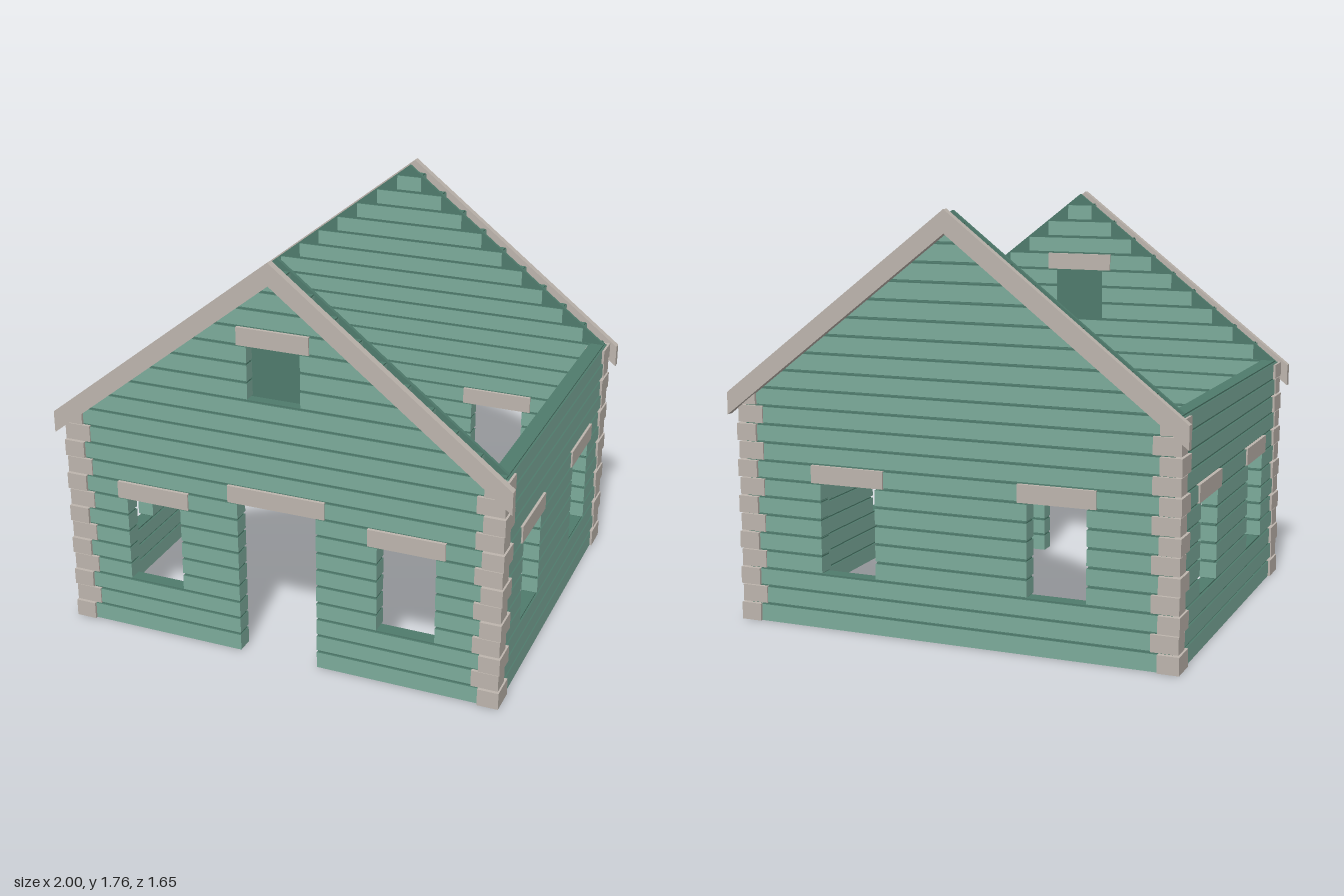
import * as THREE from 'three';

const ROW = 0.0777;          // height of one log course
const GAP = 0.012;           // groove between courses
const SLOPE = 0.78;

const mat = (name, color) => {
  const m = new THREE.MeshStandardMaterial({ color });
  m.name = name;
  return m;
};

export function createModel() {
  const green = mat('log green', 0x7cab9b);
  const dark = mat('groove green', 0x4f7b6c);
  const stone = mat('trim grey', 0xbdb5ad);
  const logMats = [green, green, dark, dark, green, green]; // tops and bottoms dark

  const model = new THREE.Group();
  model.name = 'logHouse';

  // Box given by its extents
  function box(parent, name, material, x0, x1, y0, y1, z0, z1) {
    const mesh = new THREE.Mesh(new THREE.BoxGeometry(x1 - x0, y1 - y0, z1 - z0), material);
    mesh.position.set((x0 + x1) / 2, (y0 + y1) / 2, (z0 + z1) / 2);
    mesh.name = name;
    parent.add(mesh);
  }

  // Log courses with openings {x0, x1, from, to} (rows), topped by lintels
  function wall({ name, rows, halfWidth, z0, z1, openings, turn }) {
    const g = new THREE.Group();
    g.name = name;
    for (let r = 0; r < rows; r++) {
      const y0 = r * ROW, y1 = y0 + ROW, w = halfWidth(y1);
      let left = -w;
      const spans = [];
      openings.filter(o => r >= o.from && r < o.to).sort((a, b) => a.x0 - b.x0).forEach(o => {
        spans.push([left, o.x0]);
        left = o.x1;
      });
      spans.push([left, w]);
      const bottom = r === 0 ? 0 : y0 + GAP / 2;
      for (const [a, b] of spans) {
        box(g, 'log', logMats, a, b, bottom, y1 - GAP / 2, z0, z1);
        box(g, 'groove', dark, a + 0.004, b - 0.004, y0 + 0.002, y1, z0 + 0.008, z1 - 0.008);
      }
    }
    for (const o of openings) {
      box(g, 'lintel', stone, o.x0 - 0.04, o.x1 + 0.04,
        o.to * ROW + 0.001, (o.to + 1) * ROW - 0.002, z0 - 0.007, z1 + 0.007);
    }
    g.rotation.y = turn;
    model.add(g);
    return g;
  }

  const windowPair = (a, b) => [
    { x0: -b, x1: -a, from: 3, to: 8 },
    { x0: a, x1: b, from: 3, to: 8 },
  ];
  const door = { x0: -0.175, x1: 0.175, from: 0, to: 9 };
  const vent = { x0: -0.115, x1: 0.115, from: 15, to: 18 };

  // Gable walls, stepped under the roof line
  const gableWidth = y => Math.min(0.94, (1.755 - y) / SLOPE);
  const gable = { rows: 22, halfWidth: gableWidth, z0: 0.715, z1: 0.79 };
  const front = wall({ ...gable, name: 'frontWall', turn: 0, openings: [...windowPair(0.44, 0.69), door, vent] });
  const back = wall({ ...gable, name: 'backWall', turn: Math.PI, openings: windowPair(0.335, 0.585) });

  // Side walls
  const side = { rows: 13, halfWidth: () => 0.76, z0: 0.885, z1: 0.96, openings: windowPair(0.25, 0.5) };
  wall({ ...side, name: 'leftWall', turn: Math.PI / 2 });
  wall({ ...side, name: 'rightWall', turn: -Math.PI / 2 });

  function plate(parent, name, material, points, z, depth) {
    const shape = new THREE.Shape(points.map(([x, y]) => new THREE.Vector2(x, y)));
    const mesh = new THREE.Mesh(new THREE.ExtrudeGeometry(shape, { depth, bevelEnabled: false }), material);
    mesh.position.z = z;
    mesh.name = name;
    parent.add(mesh);
  }

  for (const g of [front, back]) {
    // Solid gable panel, showing through the vent
    plate(g, 'gablePanel', dark, [[-0.955, 1.012], [0.955, 1.012], [0, 1.757]], 0.722, 0.016);
    // Sloping roof-edge boards
    plate(g, 'rightBargeBoard', stone, [[0, 1.67], [1, 0.89], [1, 0.985], [0, 1.765]], 0.79, 0.033);
    plate(g, 'leftBargeBoard', stone, [[0, 1.765], [-1, 0.985], [-1, 0.89], [0, 1.67]], 0.79, 0.033);
  }

  // Alternating corner blocks
  for (const sx of [-1, 1]) for (const sz of [-1, 1]) {
    const corner = new THREE.Group();
    corner.name = 'cornerBlocks';
    for (let r = 0; r < 13; r++) {
      const [x0, x1, z0, z1] = r % 2 ? [0.85, 0.965, 0.713, 0.796] : [0.88, 0.97, 0.68, 0.802];
      box(corner, 'cornerBlock', stone,
        Math.min(sx * x0, sx * x1), Math.max(sx * x0, sx * x1),
        r * ROW + (r ? 0.003 : 0), (r + 1) * ROW - (r === 12 ? 0.012 : 0.003),
        Math.min(sz * z0, sz * z1), Math.max(sz * z0, sz * z1));
    }
    model.add(corner);
  }

  return model;
}
